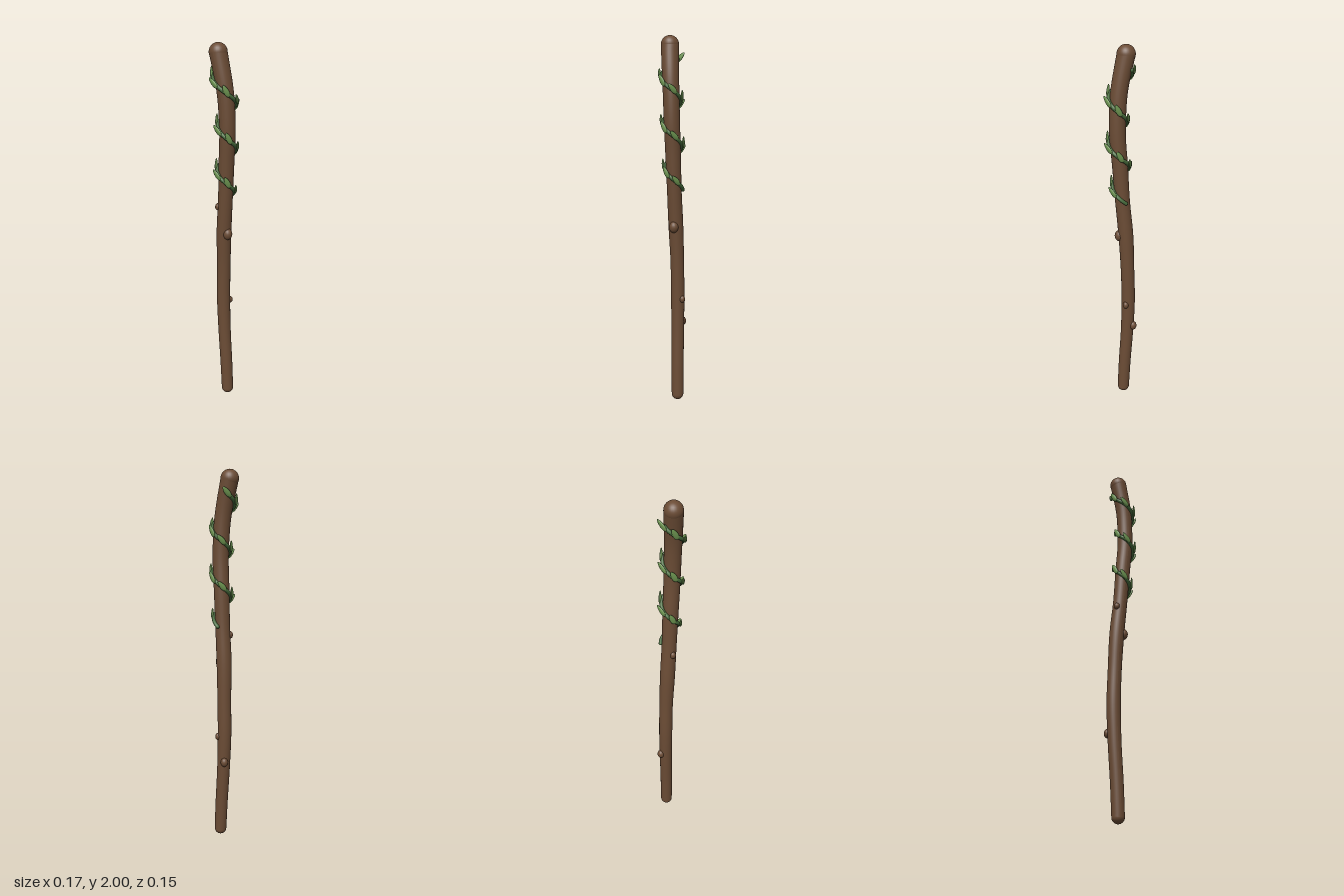
import * as THREE from 'three';

// Centre line and radius of the staff: [y, x, z, radius]
const SPINE = [
  [0.033, -0.007, -0.03, 0.033], [0.2, -0.015, -0.03, 0.034], [0.4, -0.028, -0.031, 0.035],
  [0.6, -0.035, -0.031, 0.037], [0.8, -0.031, -0.028, 0.037], [1.0, -0.024, -0.02, 0.04],
  [1.2, -0.008, -0.011, 0.039], [1.4, 0.004, -0.004, 0.041], [1.55, 0.014, 0.002, 0.042],
  [1.7, 0.01, 0.006, 0.043], [1.8, -0.002, 0.009, 0.044], [1.953, -0.036, 0.011, 0.047],
];

// Smooth interpolation of the spine at height y
function spineAt(y) {
  let i = 0;
  while (i < SPINE.length - 2 && y > SPINE[i + 1][0]) i++;
  const at = (k) => SPINE[Math.max(0, Math.min(SPINE.length - 1, k))];
  const [a, b, c, d] = [at(i - 1), at(i), at(i + 1), at(i + 2)];
  const t = (y - b[0]) / (c[0] - b[0]);
  const value = (k) => {
    const h = c[0] - b[0];
    const m0 = ((c[k] - a[k]) / (c[0] - a[0])) * h;
    const m1 = ((d[k] - b[k]) / (d[0] - b[0])) * h;
    return (2 * t ** 3 - 3 * t * t + 1) * b[k] + (t ** 3 - 2 * t * t + t) * m0
      + (3 * t * t - 2 * t ** 3) * c[k] + (t ** 3 - t * t) * m1;
  };
  return { x: value(1), z: value(2), r: value(3) };
}

// Point at height y, in direction angle, offset outward from the bark
function onBark(y, angle, offset) {
  const s = spineAt(y);
  const d = s.r + offset;
  return new THREE.Vector3(s.x + Math.cos(angle) * d, y, s.z + Math.sin(angle) * d);
}

export function createModel() {
  const model = new THREE.Group();
  const bark = new THREE.MeshStandardMaterial({ color: 0x6b4c35 });
  const stem = new THREE.MeshStandardMaterial({ color: 0x45693a });
  const green = new THREE.MeshStandardMaterial({ color: 0x6c9450 });
  const add = (name, geometry, material) => {
    const mesh = new THREE.Mesh(geometry, material);
    mesh.name = name;
    model.add(mesh);
    return mesh;
  };

  // Staff: a cylinder bent and tapered along the spine
  const y0 = SPINE[0][0];
  const y1 = SPINE[SPINE.length - 1][0];
  const shaft = new THREE.CylinderGeometry(1, 1, 1, 28, 96, true);
  const pos = shaft.attributes.position;
  for (let i = 0; i < pos.count; i++) {
    const y = y0 + (pos.getY(i) + 0.5) * (y1 - y0);
    const s = spineAt(y);
    pos.setXYZ(i, s.x + pos.getX(i) * s.r, y, s.z + pos.getZ(i) * s.r);
  }
  shaft.computeVertexNormals();
  add('shaft', shaft, bark);

  // Rounded ends
  for (const [name, y] of [['footCap', y0], ['headCap', y1]]) {
    const s = spineAt(y);
    add(name, new THREE.SphereGeometry(s.r, 28, 18), bark).position.set(s.x, y, s.z);
  }

  // Knots: [height, direction, radius, offset]
  const knots = [
    [0.45, -2.25, 0.02, 0.0], [0.59, -0.75, 0.016, -0.002],
    [1.0, 0.35, 0.025, -0.005], [1.15, 2.5, 0.016, -0.002],
  ];
  for (const [y, angle, r, offset] of knots) {
    const knot = add('knot', new THREE.SphereGeometry(r, 18, 12), bark);
    knot.position.copy(onBark(y, angle, offset));
    knot.scale.y = 1.25;
  }

  // Vine: three turns rising around the upper staff
  const vineLow = 1.2;
  const vineHigh = 1.88;
  const pitch = 0.235;
  const angleAt = (y) => -Math.PI / 2 + ((y - vineLow) / pitch) * Math.PI * 2;
  const vinePoint = (y, offset = 0.006) => onBark(y, angleAt(y), offset);
  const points = [];
  for (let i = 0; i <= 60; i++) points.push(vinePoint(vineLow + (i / 60) * (vineHigh - vineLow)));
  add('vine', new THREE.TubeGeometry(new THREE.CatmullRomCurve3(points), 200, 0.01, 10), stem);
  for (const p of [points[0], points[60]]) {
    add('vineTip', new THREE.SphereGeometry(0.01, 10, 8), stem).position.copy(p);
  }

  // Leaves: flattened pointed pods following the vine, leaning upward
  const leafShape = new THREE.SphereGeometry(1, 14, 12);
  const lp = leafShape.attributes.position;
  for (let i = 0; i < lp.count; i++) {
    const taper = 1 - 0.22 * lp.getY(i);
    lp.setXYZ(i, lp.getX(i) * 0.014 * taper, lp.getY(i) * 0.034, lp.getZ(i) * 0.007 * taper);
  }
  leafShape.computeVertexNormals();
  const count = 17;
  for (let i = 0; i < count; i++) {
    const y = vineLow + 0.045 + (i / (count - 1)) * (vineHigh - vineLow - 0.05);
    const angle = angleAt(y);
    const out = new THREE.Vector3(Math.cos(angle), 0, Math.sin(angle));
    const along = vinePoint(y + 0.005).sub(vinePoint(y - 0.005)).normalize();
    along.y += i % 2 ? 0.9 : 0.25;
    along.addScaledVector(out, 0.15).normalize();
    const side = new THREE.Vector3().crossVectors(along, out).normalize();
    const face = new THREE.Vector3().crossVectors(side, along);
    const leaf = add('leaf', leafShape, green);
    leaf.quaternion.setFromRotationMatrix(new THREE.Matrix4().makeBasis(side, along, face));
    leaf.position.copy(vinePoint(y, 0.015)).addScaledVector(along, 0.018);
  }
  return model;
}
